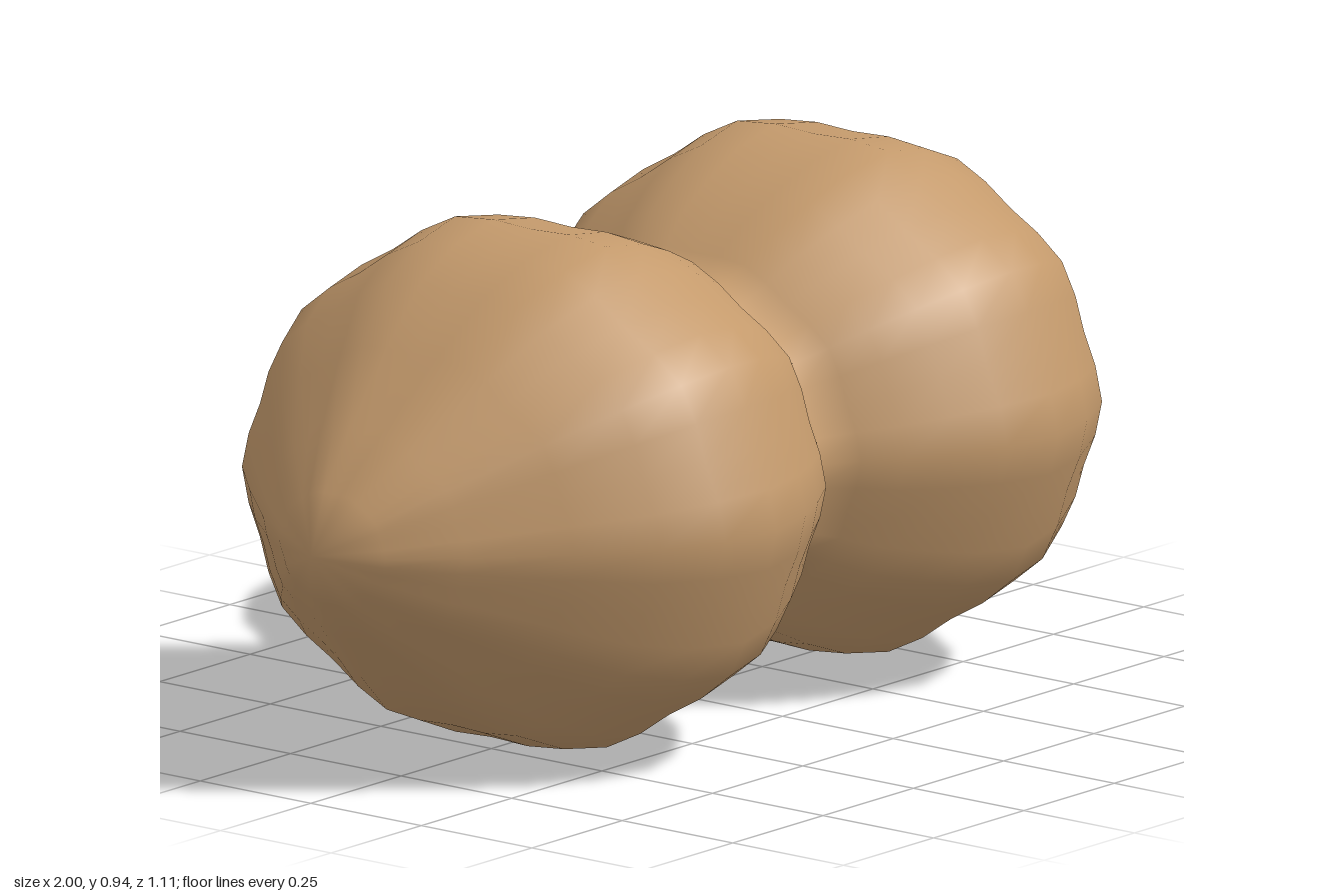
import * as THREE from 'three';
import { mergeVertices } from 'three/addons/utils/BufferGeometryUtils.js';

// Half profile from the waist to the pointed tip: [distance along x, radius]
const HALF = [
  [0, 0.333], [0.055, 0.376], [0.11, 0.43], [0.195, 0.48], [0.28, 0.52], [0.39, 0.544],
  [0.5, 0.52], [0.61, 0.465], [0.72, 0.36], [0.85, 0.225], [0.94, 0.118], [1, 0],
];
const RIDGES = 10, RIDGE_DEPTH = 0.02, FLATTEN = 0.857;

export function createModel() {
  // Two mirrored lobes in one profile, revolved and laid along x
  const left = HALF.slice(1).reverse().map(([d, r]) => new THREE.Vector2(r, -d));
  const right = HALF.map(([d, r]) => new THREE.Vector2(r, d));
  let geometry = new THREE.LatheGeometry([...left, ...right], 40);
  geometry.rotateZ(-Math.PI / 2);

  // Lengthwise ridges, a flattened section and a slight tilt
  const pos = geometry.attributes.position;
  for (let i = 0; i < pos.count; i++) {
    const x = pos.getX(i), y = pos.getY(i), z = pos.getZ(i);
    const ridge = 1 + RIDGE_DEPTH * Math.cos(RIDGES * Math.atan2(y, z));
    pos.setXYZ(i, x, y * ridge * FLATTEN + 0.472 + 0.024 * x, z * ridge);
  }

  // Weld the seam so the shell shades smoothly all round
  geometry.deleteAttribute('uv');
  geometry.deleteAttribute('normal');
  geometry = mergeVertices(geometry, 1e-4);
  geometry.computeVertexNormals();

  const shell = new THREE.Mesh(geometry, new THREE.MeshStandardMaterial({ color: 0xc49a6c }));
  shell.name = 'shell';
  const model = new THREE.Group();
  model.name = 'peanut';
  model.add(shell);
  return model;
}
